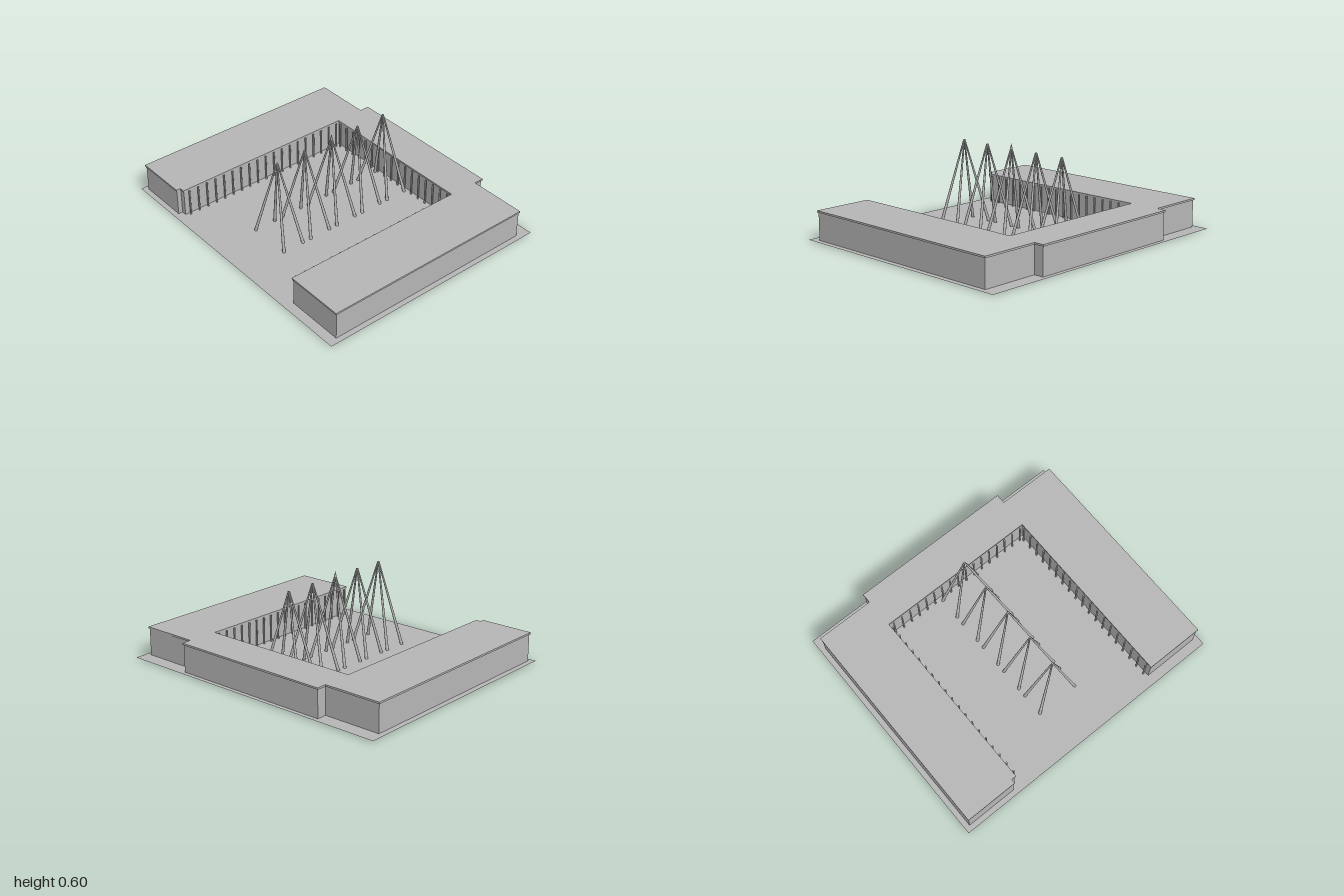
import * as THREE from 'three';

const FLOOR = 0.007, WALL_TOP = 0.191, ROOF_TOP = 0.203;

// Rectilinear plan, counter-clockwise, as [x, -z]
const PLAN = [
  [-0.97, -0.8], [-0.6, -0.8], [-0.6, -0.77], [-0.565, -0.77],
  [-0.565, 0.535], [0.562, 0.535], [0.562, -0.77], [0.97, -0.77],
  [0.97, 0.74], [0.57, 0.74], [0.57, 0.808], [-0.57, 0.808],
  [-0.57, 0.74], [-0.97, 0.74],
];

// Shrinks a right-angled outline by d on every edge
function inset(points, d) {
  const n = points.length;
  const normal = (a, b) => {
    const dx = b[0] - a[0], dy = b[1] - a[1], l = Math.hypot(dx, dy);
    return [-dy / l, dx / l];
  };
  return points.map((p, i) => {
    const a = normal(points[(i + n - 1) % n], p);
    const b = normal(p, points[(i + 1) % n]);
    return [p[0] + d * (a[0] + b[0]), p[1] + d * (a[1] + b[1])];
  });
}

function slab(name, points, y0, y1, material) {
  const shape = new THREE.Shape(points.map(([x, y]) => new THREE.Vector2(x, y)));
  const geo = new THREE.ExtrudeGeometry(shape, { depth: y1 - y0, bevelEnabled: false });
  geo.rotateX(-Math.PI / 2).translate(0, y0, 0);
  const mesh = new THREE.Mesh(geo, material);
  mesh.name = name;
  return mesh;
}

// Tapered round pole between two points
function pole(name, from, to, r0, r1, material) {
  const dir = to.clone().sub(from);
  const mesh = new THREE.Mesh(new THREE.CylinderGeometry(r1, r0, dir.length(), 10), material);
  mesh.position.copy(from).addScaledVector(dir, 0.5);
  mesh.quaternion.setFromUnitVectors(new THREE.Vector3(0, 1, 0), dir.normalize());
  mesh.name = name;
  return mesh;
}

export function createModel() {
  const model = new THREE.Group();
  model.name = 'courtyardBuilding';
  const grey = new THREE.MeshStandardMaterial({ color: 0xb4b4b4, side: THREE.DoubleSide });
  grey.name = 'plain grey';

  // Ground sheet
  const ground = new THREE.Mesh(new THREE.PlaneGeometry(2, 1.66).rotateX(-Math.PI / 2), grey);
  ground.position.y = FLOOR - 0.001;
  ground.name = 'groundSheet';
  model.add(ground);

  // U-shaped building with a slightly overhanging roof
  model.add(slab('walls', inset(PLAN, 0.006), FLOOR, WALL_TOP, grey));
  model.add(slab('roof', PLAN, WALL_TOP, ROOF_TOP, grey));

  // Posts lining the courtyard
  const posts = new THREE.Group();
  posts.name = 'courtyardPosts';
  const postGeo = new THREE.CylinderGeometry(0.006, 0.006, WALL_TOP - 0.003, 8);
  const addPost = (x, z) => {
    const post = new THREE.Mesh(postGeo, grey);
    post.position.set(x, (WALL_TOP + 0.003) / 2, z);
    post.name = 'post';
    posts.add(post);
  };
  for (let i = -8; i <= 8; i++) addPost(i * 0.0667, -0.524);
  for (let i = 0; i < 19; i++) {
    const z = -0.505 + i * 0.0687;
    addPost(-0.555, z);
    addPost(0.552, z);
  }
  model.add(posts);

  // Row of four-legged pole frames
  for (let i = -2; i <= 2; i++) {
    const frame = new THREE.Group();
    frame.name = 'poleFrame';
    frame.position.z = i * 0.2165;
    for (const sx of [-1, 1]) for (const sz of [-1, 1]) {
      frame.add(pole('leg',
        new THREE.Vector3(sx * 0.148, 0.003, sz * 0.077),
        new THREE.Vector3(sx * 0.002, 0.573, sz * 0.001), 0.0105, 0.005, grey));
    }
    model.add(frame);
  }

  // Pointed finial on the middle frame
  const finial = new THREE.Mesh(new THREE.ConeGeometry(0.009, 0.037, 10), grey);
  finial.position.y = 0.5865;
  finial.name = 'finial';
  model.add(finial);

  return model;
}
